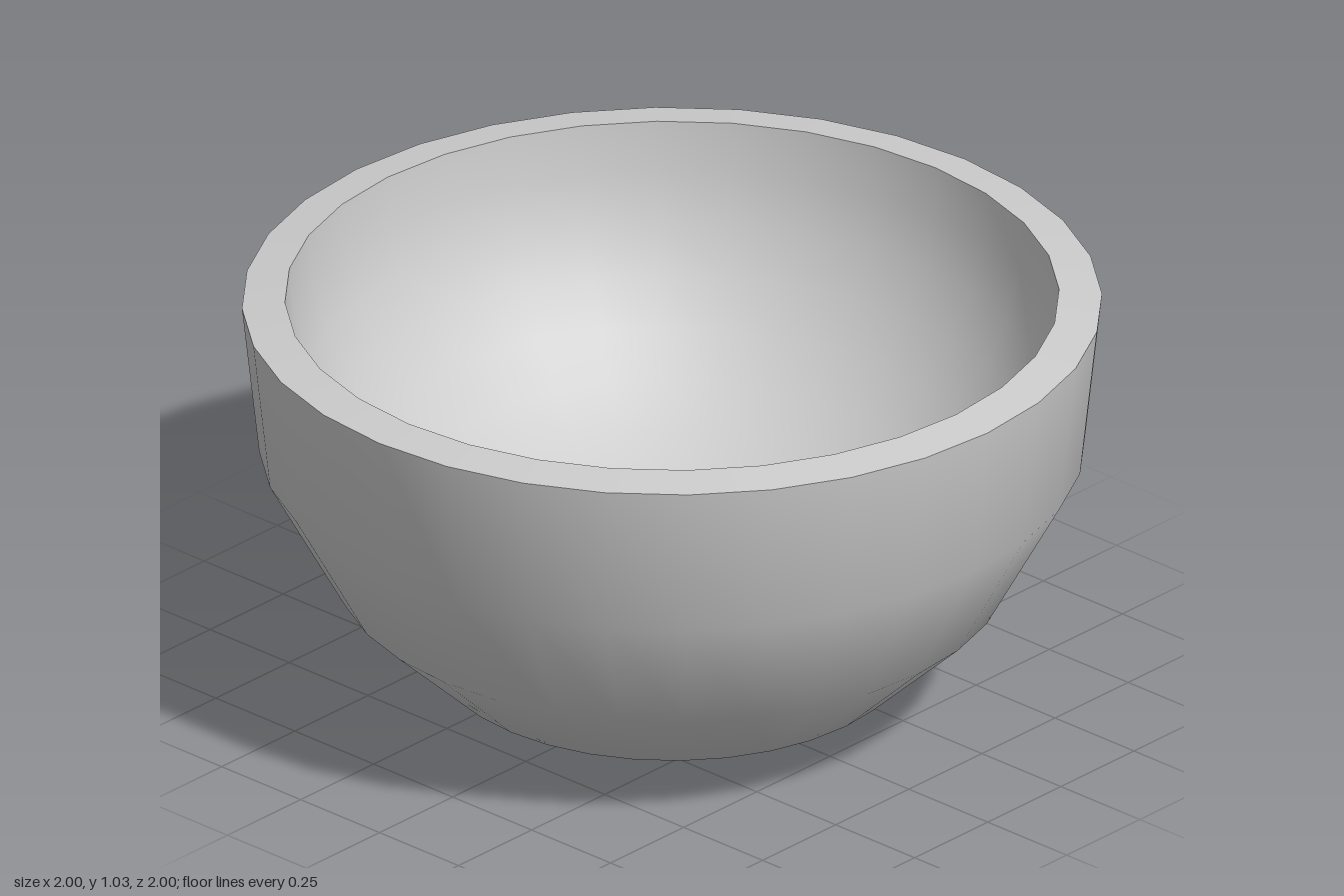
import * as THREE from 'three';

const SIDES = 32;

// Surface of revolution from [radius, height] pairs; rising profiles face outward
function turned(name, profile, material) {
  const points = profile.map(([r, y]) => new THREE.Vector2(r, y));
  const mesh = new THREE.Mesh(new THREE.LatheGeometry(points, SIDES), material);
  mesh.name = name;
  return mesh;
}

export function createModel() {
  const group = new THREE.Group();
  group.name = 'bowl';
  const material = new THREE.MeshStandardMaterial({ color: 0xcccccc, side: THREE.DoubleSide });

  // Outer shell, open at the foot
  const outer = [[0.225, 0], [0.55, 0.094], [0.78, 0.31], [0.96, 0.64], [1, 1.013]];

  // Inner shell: a closed half ellipsoid hanging from the lip
  const lipRadius = 0.9, lipHeight = 1.027, depth = 0.77, rings = 10;
  const inner = [];
  for (let i = 0; i <= rings; i++) {
    const a = (i / rings) * Math.PI / 2;
    inner.push([lipRadius * Math.cos(a), lipHeight - depth * Math.sin(a)]);
  }

  group.add(turned('outerShell', outer, material));
  group.add(turned('rim', [outer[outer.length - 1], inner[0]], material));
  group.add(turned('innerShell', inner, material));
  return group;
}
